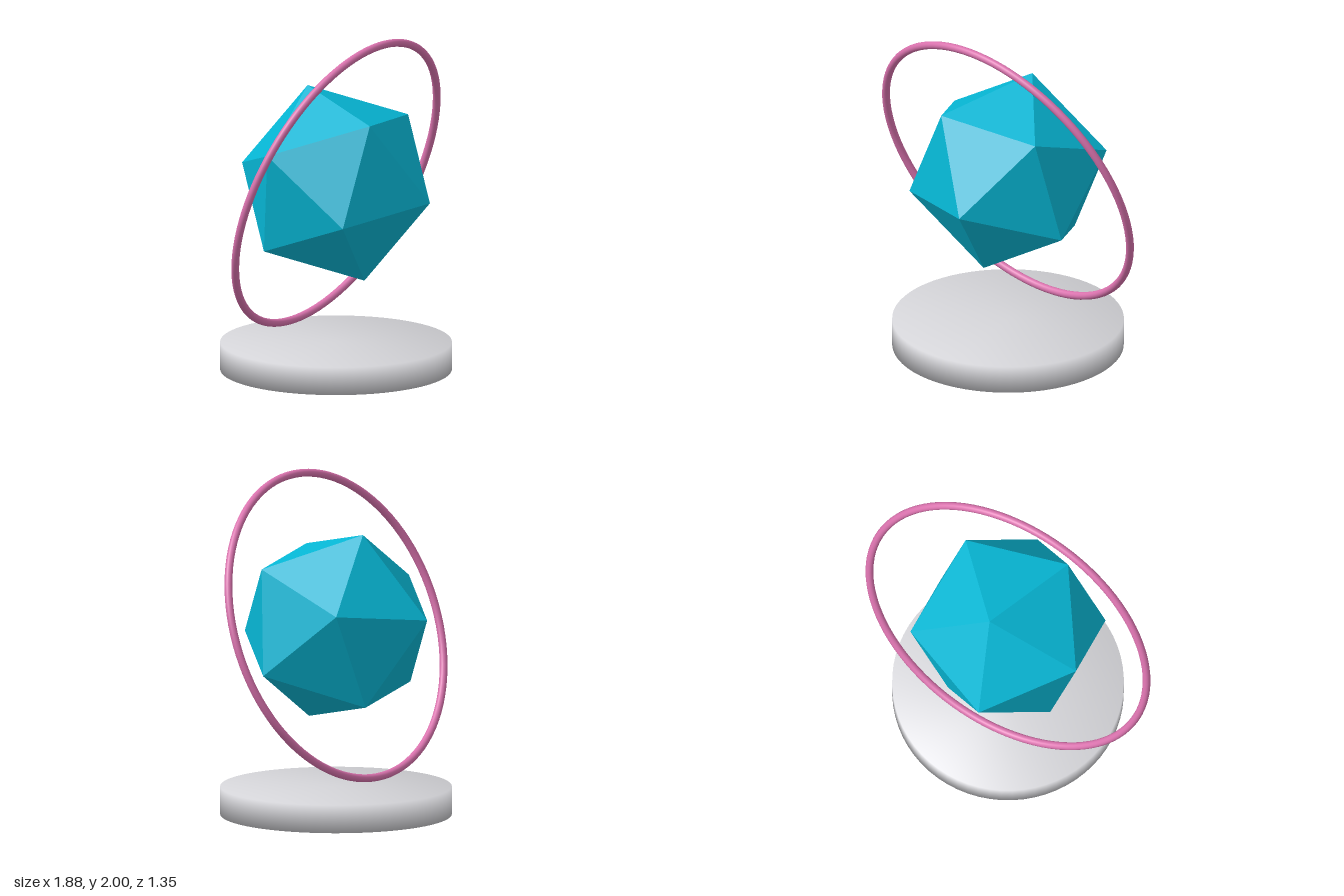
import * as THREE from 'three';
import { mergeVertices } from 'three/addons/utils/BufferGeometryUtils.js';

const CENTRE_Y = 1.115;

function flatColour(name, color) {
  const material = new THREE.MeshStandardMaterial({ color });
  material.name = name;
  return material;
}

export function createModel() {
  const group = new THREE.Group();
  group.name = 'gemWithRing';

  const teal = flatColour('teal', 0x06b6d4);
  teal.flatShading = true;
  const pink = flatColour('pink', 0xd972ad);
  const paleGrey = flatColour('paleGrey', 0xd4d4d8);

  function add(name, geometry, material, y) {
    const mesh = new THREE.Mesh(geometry, material);
    mesh.name = name;
    mesh.position.y = y;
    group.add(mesh);
    return mesh;
  }

  // Round base, with normals shared between the caps and the wall
  let disc = new THREE.CylinderGeometry(0.676, 0.676, 0.165, 64);
  disc.deleteAttribute('uv');
  disc.deleteAttribute('normal');
  disc = mergeVertices(disc);
  disc.computeVertexNormals();
  add('base', disc, paleGrey, 0.0825);

  // Faceted gem, turned so that one edge runs between two known corners
  const gem = add('gem', new THREE.IcosahedronGeometry(0.594, 0), teal, CENTRE_Y);
  const cornerA = new THREE.Vector3(0, 0.555, -0.205);
  const cornerB = new THREE.Vector3(-0.18, 0.42, 0.38);
  const yAxis = cornerA.clone().sub(cornerB).normalize();
  const xAxis = yAxis.clone().cross(cornerA.clone().add(cornerB)).normalize();
  const zAxis = xAxis.clone().cross(yAxis);
  gem.quaternion.setFromRotationMatrix(new THREE.Matrix4().makeBasis(xAxis, yAxis, zAxis));

  // Thin ring leaning forward around the gem
  const ring = add('ring', new THREE.TorusGeometry(0.918, 0.023, 16, 96), pink, CENTRE_Y);
  ring.rotation.set(0.35, 0.02, 0);

  return group;
}
